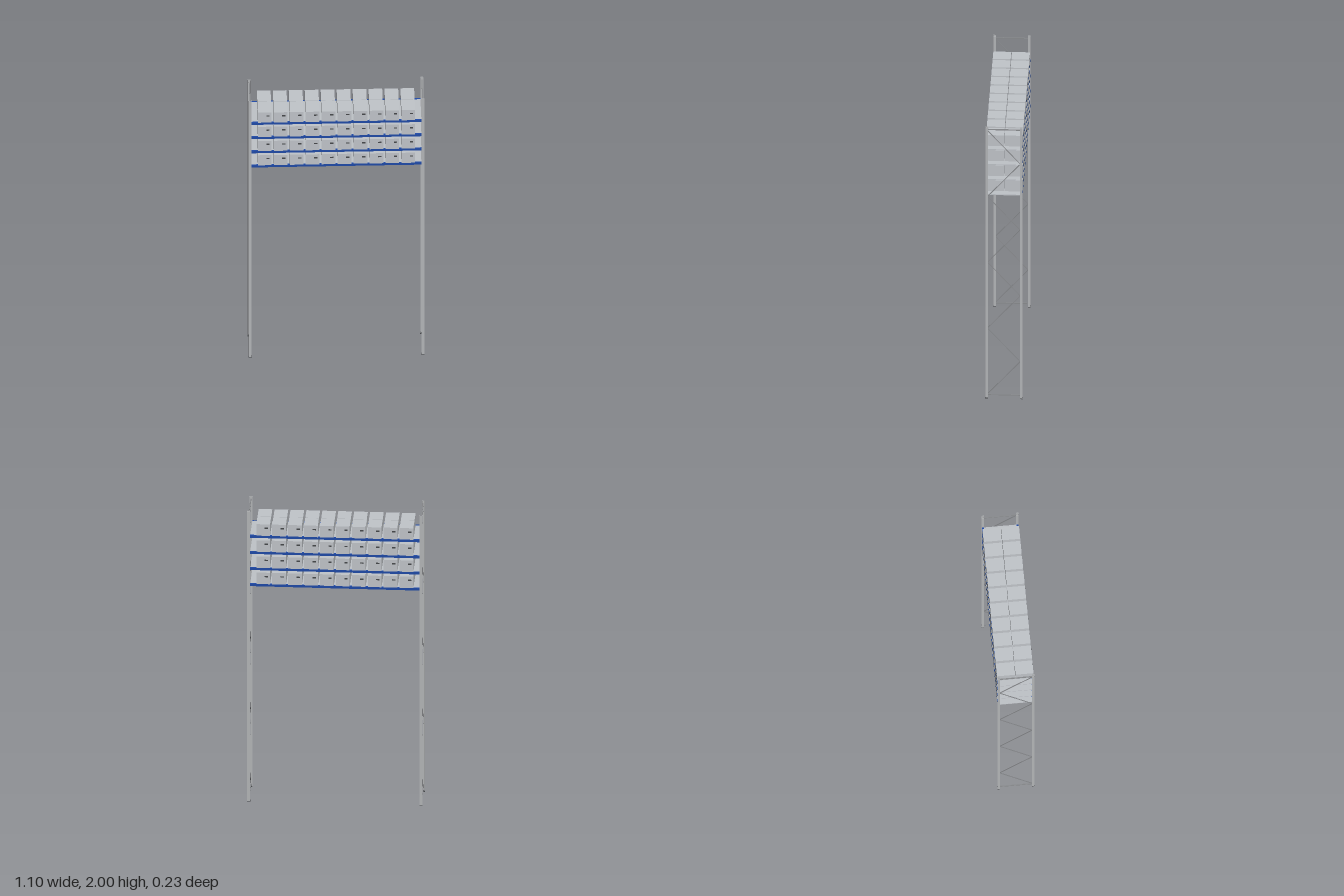
import * as THREE from 'three';

const mat = (name, color) => new THREE.MeshStandardMaterial({ name, color });

export function createModel() {
  const steel = mat('galvanised steel', 0xb4b6b8);
  const blue = mat('beam blue', 0x1f4aa8);
  const boxGrey = mat('box grey', 0xc1c5ca);
  const deckGrey = mat('deck grey', 0xbfc3c8);
  const dark = mat('dark grey', 0x45474a);
  const rodGrey = mat('brace grey', 0x8a8c8f);

  const model = new THREE.Group();
  model.name = 'storageRack';

  const box = (parent, name, w, h, d, x, y, z, material) => {
    const m = new THREE.Mesh(new THREE.BoxGeometry(w, h, d), material);
    m.name = name;
    m.position.set(x, y, z);
    parent.add(m);
    return m;
  };

  const postX = 0.541, postZ = 0.109;

  // Channel section, open towards local -z
  const W = 0.009, D = 0.008, T = 0.0025;
  const section = new THREE.Shape([
    [-W, -D], [W, -D], [W, D], [W - T, D], [W - T, -D + T],
    [-W + T, -D + T], [-W + T, D], [-W, D],
  ].map(([x, y]) => new THREE.Vector2(x, y)));
  const postGeo = new THREE.ExtrudeGeometry(section, { depth: 1.996, bevelEnabled: false });
  postGeo.rotateX(-Math.PI / 2);

  // Straight brace between two heights in the side frame
  const brace = (parent, name, y0, z0, y1, z1, size) => {
    const dy = y1 - y0, dz = z1 - z0;
    const m = box(parent, name, size, Math.hypot(dy, dz), size,
      0, (y0 + y1) / 2, (z0 + z1) / 2, rodGrey);
    m.rotation.x = Math.atan2(dz, dy);
  };

  // Two upright end frames
  for (const sx of [-1, 1]) {
    const frame = new THREE.Group();
    frame.name = sx > 0 ? 'leftFrame' : 'rightFrame';
    frame.position.x = sx * postX;
    for (const sz of [-1, 1]) {
      const post = new THREE.Mesh(postGeo, steel);
      post.name = sz > 0 ? 'frontPost' : 'backPost';
      post.position.set(0, 0.004, sz * postZ);
      if (sz < 0) post.rotation.y = Math.PI;
      frame.add(post);
      box(frame, 'foot', 0.02, 0.005, 0.017, 0, 0.0025, sz * postZ, dark);
    }
    // Zigzag diagonals and the top and bottom ties
    const step = 0.2435;
    for (let i = 0; i < 8; i++) {
      const z = i % 2 ? -0.103 : 0.103;
      brace(frame, 'diagonalBrace', 0.028 + i * step, z, 0.028 + (i + 1) * step, -z, 0.004);
    }
    for (const y of [0.024, 1.984]) box(frame, 'tieBar', 0.006, 0.006, 0.208, 0, y, 0, rodGrey);
    model.add(frame);
  }

  // Four shelf levels with back-to-back rows of boxes
  for (let level = 0; level < 4; level++) {
    const shelf = new THREE.Group();
    shelf.name = 'shelf' + (level + 1);
    shelf.position.y = 1.5 + level * 0.111; // deck top
    for (const sz of [-1, 1]) {
      box(shelf, 'beam', 1.064, 0.016, 0.012, 0, -0.008, sz * 0.109, blue);
    }
    box(shelf, 'deck', 1.064, 0.006, 0.206, 0, -0.003, 0, deckGrey);
    for (const x of [-0.33, 0, 0.33]) {
      box(shelf, 'crossBar', 0.012, 0.007, 0.206, x, -0.0095, 0, steel);
    }
    // Each row is the same, the back one turned around
    for (const turn of [0, Math.PI]) {
      const row = new THREE.Group();
      row.name = turn ? 'backBoxRow' : 'frontBoxRow';
      row.rotation.y = turn;
      for (let i = 0; i < 10; i++) {
        const x = -0.45 + i * 0.1;
        box(row, 'storageBox', 0.086, 0.079, 0.113, x, 0.0395, 0.0585, boxGrey);
        box(row, 'handleSlot', 0.021, 0.009, 0.002, x + 0.02, 0.053, 0.1155, dark);
      }
      shelf.add(row);
    }
    model.add(shelf);
  }
  return model;
}
